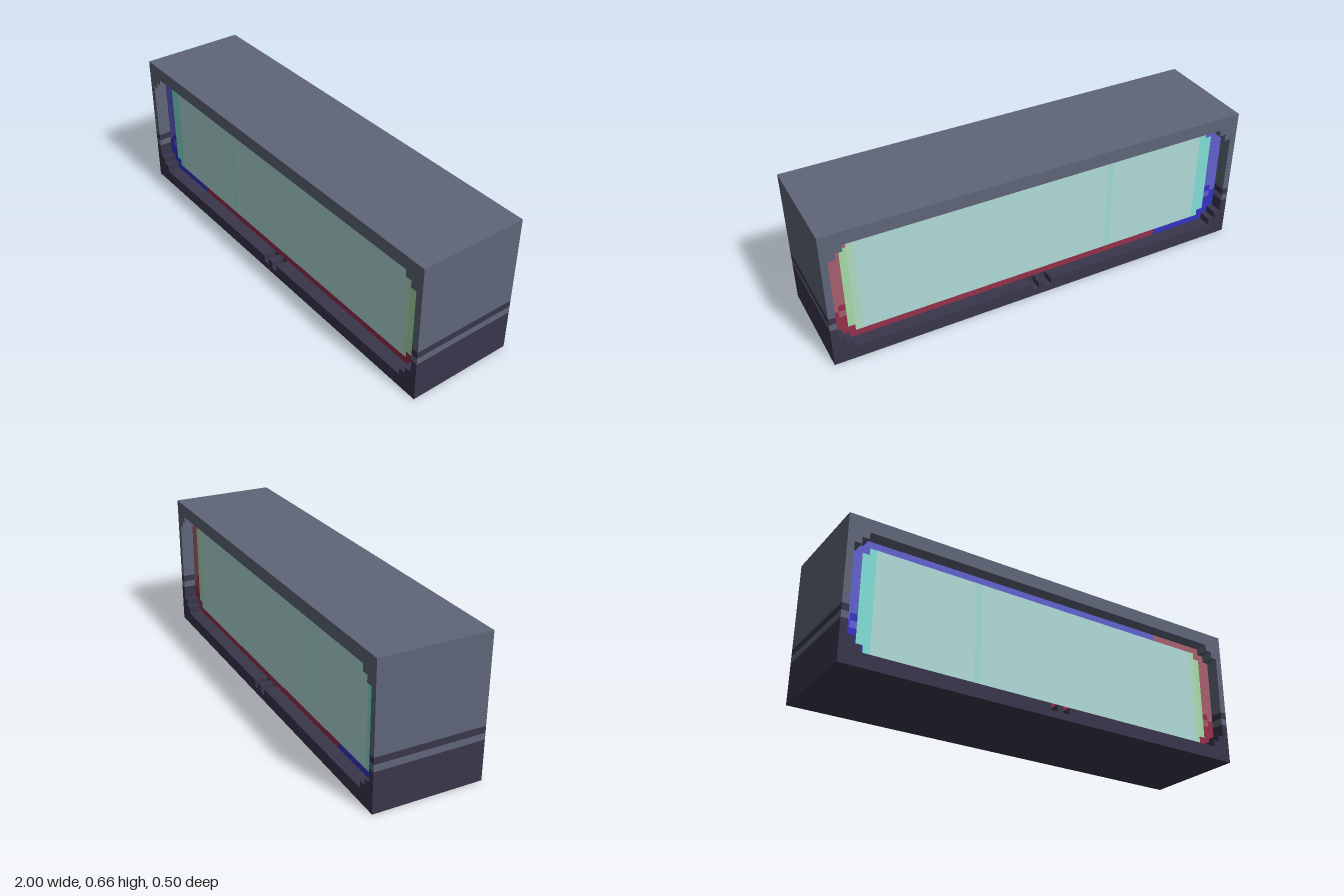
import * as THREE from 'three';

const U = 1 / 32;              // one block unit: the case is 64 x 21 x 16 units
const CORE = 6, RIM = 2;       // half depth of the core, depth of each rim
const LIGHT = 0x5f6678, DARK = 0x3a364c;
const BLUE = 0x6262d0, DEEP_BLUE = 0x3634c4, RED = 0xa8606f, DEEP_RED = 0x94304c;
const PALE = 0xb1dcd8, CYAN = 0x82e0d8, AQUA = 0xa4dcd6, LIME = 0xb4dcc0, GREEN = 0xa6dca8;

const materials = new Map();
function paint(color) {
  if (!materials.has(color)) materials.set(color, new THREE.MeshStandardMaterial({ color, flatShading: true }));
  return materials.get(color);
}

function addMesh(parent, name, geometry, color) {
  const mesh = new THREE.Mesh(geometry, paint(color));
  mesh.name = name;
  parent.add(mesh);
  return mesh;
}

// Extrude a unit-grid outline to make matching rims on the front and back
function addRims(parent, name, points, color) {
  const shape = new THREE.Shape(points.map(([x, y]) => new THREE.Vector2((x - 32) * U, y * U)));
  for (const z of [CORE, -CORE - RIM]) {
    const geometry = new THREE.ExtrudeGeometry(shape, { depth: RIM * U, bevelEnabled: false });
    geometry.translate(0, 0, z * U);
    addMesh(parent, name + (z > 0 ? 'Front' : 'Back'), geometry, color);
  }
}

// A coloured rectangle of the display, repeated on both faces
function addTile(parent, name, x0, y0, x1, y1, color, level = 1) {
  for (const side of [1, -1]) {
    const tile = addMesh(parent, name, new THREE.PlaneGeometry((x1 - x0) * U, (y1 - y0) * U), color);
    tile.position.set(((x0 + x1) / 2 - 32) * U, ((y0 + y1) / 2) * U, side * (CORE * U + level * 0.001));
    if (side < 0) tile.rotation.y = Math.PI;
  }
}

const rect = (x0, y0, x1, y1) => [[x0, y0], [x1, y0], [x1, y1], [x0, y1]];

export function createModel() {
  const model = new THREE.Group();
  model.name = 'displayBox';

  // Solid core of the case, in horizontal colour bands
  const body = new THREE.Group();
  body.name = 'case';
  model.add(body);
  const bands = [[0, 6, DARK], [6, 7, LIGHT], [7, 8, DARK], [8, 21, LIGHT]];
  for (const [y0, y1, color] of bands) {
    const core = addMesh(body, 'caseBand', new THREE.BoxGeometry(64 * U, (y1 - y0) * U, 2 * CORE * U), color);
    core.position.y = ((y0 + y1) / 2) * U;
  }

  // Lower rim: stepped corners and two small notches in the sill
  addRims(body, 'lowerRim', [
    [0, 0], [64, 0], [64, 6], [63, 6], [63, 4], [62, 4], [62, 3], [61, 3], [61, 2],
    [34, 2], [34, 1], [33, 1], [33, 2], [32, 2], [32, 1], [31, 1], [31, 2],
    [3, 2], [3, 3], [2, 3], [2, 4], [1, 4], [1, 6], [0, 6],
  ], DARK);

  // Side posts through the two thin bands
  for (const x of [0, 63]) {
    addRims(body, 'lightPost', rect(x, 6, x + 1, 7), LIGHT);
    addRims(body, 'darkPost', rect(x, 7, x + 1, 8), DARK);
  }

  // Upper rim with stepped corners
  addRims(body, 'upperRim', [
    [0, 8], [1, 8], [1, 17], [2, 17], [2, 18], [3, 18], [3, 19],
    [61, 19], [61, 18], [62, 18], [62, 17], [63, 17], [63, 8], [64, 8], [64, 21], [0, 21],
  ], LIGHT);

  // Recessed display: blue and red border
  const screen = new THREE.Group();
  screen.name = 'display';
  model.add(screen);
  addTile(screen, 'borderTopBlue', 1, 17, 52, 19, BLUE);
  addTile(screen, 'borderTopRed', 52, 17, 63, 19, RED);
  addTile(screen, 'borderBottomBlue', 1, 2, 12, 4, DEEP_BLUE);
  addTile(screen, 'borderBottomRed', 12, 2, 63, 4, DEEP_RED);
  for (const [outer, inner, upper, lower] of [[1, 2, BLUE, DEEP_BLUE], [62, 61, RED, DEEP_RED]]) {
    addTile(screen, 'borderOuterLow', outer, 4, outer + 1, 7, lower);
    addTile(screen, 'borderOuterHigh', outer, 7, outer + 1, 17, upper);
    addTile(screen, 'borderInnerLow', inner, 4, inner + 1, 6, lower);
    addTile(screen, 'borderInnerStripe', inner, 6, inner + 1, 7, upper);
    addTile(screen, 'borderInnerCheck', inner, 7, inner + 1, 8, lower);
    addTile(screen, 'borderInnerHigh', inner, 8, inner + 1, 17, upper);
  }

  // Bright panel in vertical strips, its end columns one unit shorter
  const strips = [
    [3, 4, CYAN], [4, 5, CYAN], [5, 20, PALE], [20, 21, AQUA],
    [21, 59, PALE], [59, 60, LIME], [60, 61, GREEN],
  ];
  for (const [x0, x1, color] of strips) {
    const cut = x0 === 3 || x1 === 61 ? 1 : 0;
    addTile(screen, 'panelStrip', x0, 3 + cut, x1, 18 - cut, color, 2);
  }
  return model;
}
